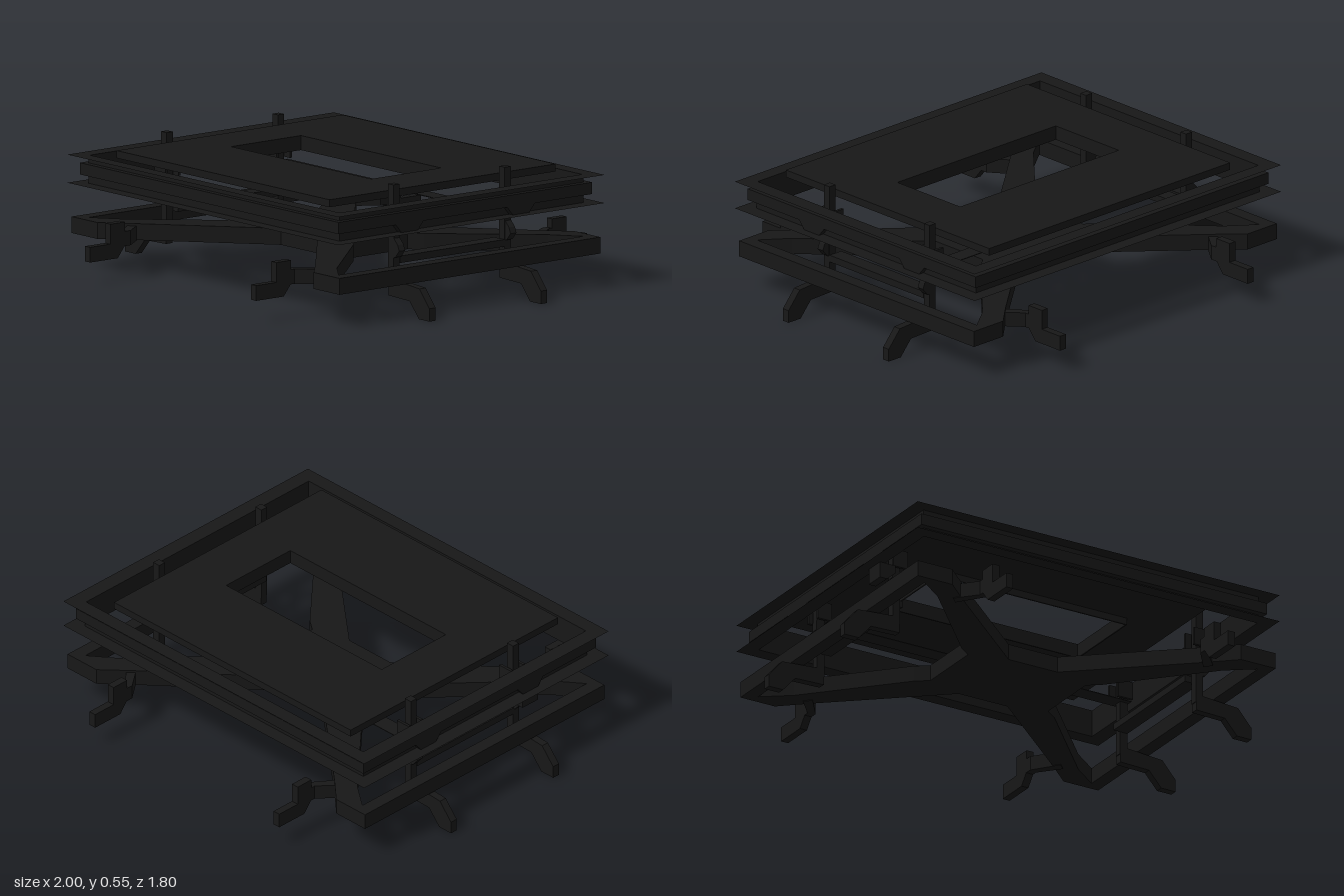
import * as THREE from 'three';

const paint = new THREE.MeshStandardMaterial({ color: 0x171717, side: THREE.DoubleSide, flatShading: true });

function add(parent, name, geometry) {
  const mesh = new THREE.Mesh(geometry, paint);
  mesh.name = name;
  parent.add(mesh);
  return mesh;
}

const shapeOf = (pts) => new THREE.Shape(pts.map(([a, b]) => new THREE.Vector2(a, b)));
const rect = (w, d) => [[-w, -d], [w, -d], [w, d], [-w, d]];

// Plan outline given as [x, z] points, raised from y0 to y1
function slab(pts, y0, y1, hole) {
  const shape = shapeOf(pts.map(([x, z]) => [x, -z]));
  if (hole) shape.holes.push(shapeOf(hole));
  const geo = y1 > y0
    ? new THREE.ExtrudeGeometry(shape, { depth: y1 - y0, bevelEnabled: false })
    : new THREE.ShapeGeometry(shape);
  return geo.rotateX(-Math.PI / 2).translate(0, y0, 0);
}

// Side outline given as [outward, y] points, centred on its thickness
function profile(pts, thickness) {
  return new THREE.ExtrudeGeometry(shapeOf(pts), { depth: thickness, bevelEnabled: false })
    .translate(0, 0, -thickness / 2);
}

function box(x0, x1, y0, y1, z0, z1) {
  return new THREE.BoxGeometry(x1 - x0, y1 - y0, z1 - z0)
    .translate((x0 + x1) / 2, (y0 + y1) / 2, (z0 + z1) / 2);
}

export function createModel() {
  const model = new THREE.Group();
  model.name = 'liftFrame';

  // Top plate with its rectangular window and the window's deeper rim
  const window = rect(0.46, 0.19);
  add(model, 'topPlate', slab(rect(0.7, 0.615), 0.48, 0.512, window));
  add(model, 'windowRim', slab(rect(0.466, 0.196), 0.45, 0.48, window));

  // Channel frame: thin flanges, inner wall and raised web
  const opening = rect(0.82, 0.66);
  for (const y of [0.36, 0.48]) add(model, 'frameFlange', slab(rect(0.89, 0.725), y, y, opening));
  add(model, 'frameWall', slab(rect(0.824, 0.664), 0.36, 0.48, opening));
  add(model, 'frameWeb', slab(rect(0.85, 0.69), 0.397, 0.447, opening));

  // Cross-shaped base, mirrored from one quadrant
  const quarter = [[0.29, 0.15], [0.345, 0.19], [0.7, 0.575], [0.82, 0.665], [0.87, 0.71],
    [0.71, 0.71], [0.6, 0.61], [0.12, 0.2]];
  const flip = (pts, sx, sz) => pts.map(([x, z]) => [x * sx, z * sz]);
  const cross = [
    ...quarter,
    ...flip(quarter, -1, 1).reverse(),
    ...flip(quarter, -1, -1),
    ...flip(quarter, 1, -1).reverse(),
  ];
  add(model, 'baseCross', slab(cross, 0.145, 0.215));

  const sideFoot = [[0.73, 0.145], [0.73, 0.072], [0.87, 0.068], [0.93, 0], [1, 0], [1, 0.055], [0.935, 0.13]];
  const endFoot = [[0.71, 0.245], [0.71, 0.145], [0.75, 0.095], [0.9, 0.095], [0.9, 0.16], [0.79, 0.16], [0.79, 0.245]];
  const hook = [[0.74, 0.23], [0.775, 0.24], [0.8, 0.27], [0.79, 0.295], [0.765, 0.32], [0.765, 0.36], [0.74, 0.36]];
  const gusset = [[-0.045, 0.361], [0.045, 0.361], [0.075, 0.397], [-0.075, 0.397]];

  for (const side of [0, 1]) {
    // Long side: base rail, inner rail, posts, hooks, brackets and feet
    const half = new THREE.Group();
    half.name = side ? 'rightSide' : 'leftSide';
    half.rotation.y = side * Math.PI;
    model.add(half);
    add(half, 'baseRail', box(0.82, 0.88, 0.145, 0.215, -0.71, 0.71));
    add(half, 'innerRail', box(0.695, 0.763, 0.21, 0.24, -0.285, 0.285));
    for (const z of [-0.303, 0.303]) {
      add(half, 'post', box(0.727, 0.763, 0.11, 0.548, z - 0.017, z + 0.017));
      add(half, 'sideFoot', profile(sideFoot, 0.034)).position.z = z;
      add(half, 'hook', profile(hook, 0.032)).position.z = z;
      const bracket = add(half, 'frameBracket', profile(gusset, 0.03));
      bracket.rotation.y = Math.PI / 2;
      bracket.position.set(0.835, 0, z);
      for (const dz of [-0.036, 0.036]) {
        add(half, 'clevisPlate', box(0.705, 0.775, 0.362, 0.44, z + dz - 0.006, z + dz + 0.006));
      }
    }

    // Short side: two feet, each with a bent arm to the cross
    for (const x of [-0.545, 0.545]) {
      const foot = add(half, 'endFoot', profile(endFoot, 0.034));
      foot.rotation.y = -Math.PI / 2;
      foot.position.x = x;
      const arm = [[0.528, 0.74], [0.528, 0.68], [0.61, 0.57], [0.64, 0.6], [0.562, 0.69], [0.562, 0.74]];
      add(half, 'endFootArm', slab(flip(arm, Math.sign(x), 1), 0.142, 0.205));
    }
  }

  // Control box hung below one corner of the frame, and the thin rear tie strip
  const lock = [[-0.845, 0.36], [-0.845, 0.29], [-0.81, 0.29], [-0.77, 0.325], [-0.77, 0.36]];
  add(model, 'hangingBlock', profile(lock, 0.09)).position.z = 0.305;
  add(model, 'tieStrip', box(-0.73, 0.77, 0.351, 0.354, -0.34, -0.265));

  return model;
}
